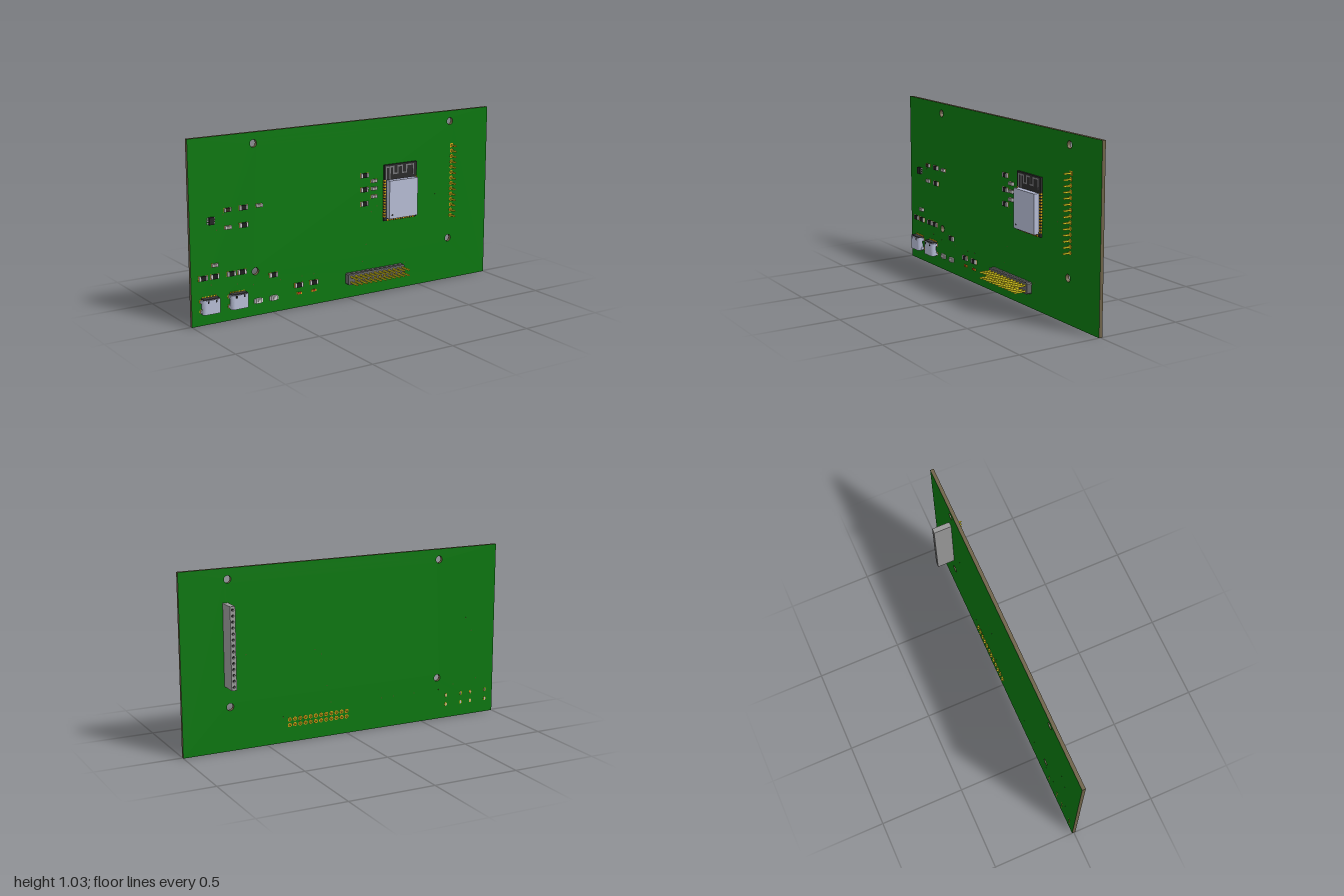
import * as THREE from 'three';

const FRONT = 0.0095, BACK = -0.011, PITCH = 0.0328;
const GREEN = 0x0b760f, EDGE = 0x6e6248, GOLD = 0xd9a514, YELLOW = 0xe0d01c, BLACK = 0x1c1c1c,
  STEEL = 0xb4bad2, GREY = 0x999999, DARK = 0x3a3a3c, TIN = 0xc4c4c4;

const mats = {};
const mat = (color) => (mats[color] ??= new THREE.MeshStandardMaterial({ color, flatShading: true }));

function add(parent, name, geometry, color, x = 0, y = 0, z = 0) {
  const mesh = new THREE.Mesh(geometry, mat(color));
  mesh.name = name;
  mesh.position.set(x, y, z);
  parent.add(mesh);
  return mesh;
}

// box given by its centre in x and y and its range in z
const box = (parent, name, color, x, y, w, h, z0, z1) =>
  add(parent, name, new THREE.BoxGeometry(w, h, z1 - z0), color, x, y, (z0 + z1) / 2);

// disc or rod along z
const rod = (parent, name, color, x, y, r, z0, z1, sides = 12) =>
  add(parent, name, new THREE.CylinderGeometry(r, r, z1 - z0, sides).rotateX(Math.PI / 2), color, x, y, (z0 + z1) / 2);

function group(parent, name, x = 0, y = 0) {
  const g = new THREE.Group();
  g.name = name;
  g.position.set(x, y, 0);
  parent.add(g);
  return g;
}

const polygon = (points) => new THREE.Shape(points.map(([x, y]) => new THREE.Vector2(x, y)));
const circle = (x, y, r, n = 24) => {
  const path = new THREE.Path();
  path.absarc(x, y, r, 0, Math.PI * 2, true);
  return new THREE.Path(path.getPoints(n));
};

// square pin along z with tapered ends
function pin(parent, x, y, z0, z1) {
  const profile = [[0, z0], [0.003, z0], [0.0064, z0 + 0.006], [0.0064, z1 - 0.006], [0.003, z1], [0, z1]];
  const g = new THREE.LatheGeometry(profile.map(([r, h]) => new THREE.Vector2(r, h)), 4, Math.PI / 4);
  add(parent, 'pin', g.rotateX(Math.PI / 2), YELLOW, x, y);
}

function stadium(w, h) {
  const r = h / 2, s = new THREE.Shape();
  s.absarc(w / 2 - r, 0, r, -Math.PI / 2, Math.PI / 2, false);
  s.absarc(-w / 2 + r, 0, r, Math.PI / 2, Math.PI * 1.5, false);
  return s;
}

// two-terminal chip component lying along x
function chip(parent, name, x, y, w, h, d, body, ends = TIN) {
  const g = group(parent, name, x, y);
  box(g, 'body', body, 0, 0, w * 0.6, h, FRONT, FRONT + d);
  for (const s of [-1, 1]) {
    box(g, 'terminal', ends, s * w * 0.39, 0, w * 0.2, h, FRONT, FRONT + d);
    box(g, 'pad', GOLD, s * w * 0.4, 0, w * 0.3, h * 1.1, FRONT, FRONT + 0.001);
  }
}

// port with its mouth facing down
function port(parent, x) {
  const g = group(parent, 'port', x, 0.07), w = 0.108, h = 0.04, zc = FRONT + 0.0225;
  const ring = stadium(w, h);
  ring.holes.push(new THREE.Path(stadium(w - 0.01, h - 0.01).getPoints(10)));
  const along = (shape, depth) =>
    new THREE.ExtrudeGeometry(shape, { depth, bevelEnabled: false, curveSegments: 10 }).rotateX(-Math.PI / 2);
  add(g, 'shell', along(ring, 0.08), STEEL, 0, 0, zc);
  add(g, 'backPlug', along(stadium(w - 0.012, h - 0.012), 0.03), DARK, 0, 0.048, zc);
  box(g, 'tongue', BLACK, 0, 0.03, 0.07, 0.05, zc - 0.004, zc + 0.004);
  box(g, 'rearHousing', DARK, 0, 0.079, 0.094, 0.012, FRONT, zc + 0.012);
  for (const s of [-1, 1]) {
    box(g, 'notch', BLACK, s * 0.024, 0.07, 0.01, 0.014, zc + 0.019, zc + 0.0207);
    for (const y of [0.012, 0.068]) {
      box(g, 'leg', STEEL, s * 0.052, y, 0.006, 0.016, BACK - 0.002, zc);
      add(g, 'legPad', new THREE.CylinderGeometry(0.01, 0.01, FRONT - BACK + 0.002, 12)
        .rotateX(Math.PI / 2).scale(0.8, 1.2, 1), GOLD, s * 0.052, y, (FRONT + BACK) / 2);
    }
  }
  for (let i = 0; i < 10; i++) box(g, 'contact', GOLD, -0.0405 + i * 0.009, 0.086, 0.005, 0.012, FRONT, FRONT + 0.003);
}

function radioModule(parent) {
  const g = group(parent, 'radioModule', 0.358, 0);
  box(g, 'moduleBoard', 0x2a2a2a, 0, 0.59, 0.23, 0.332, FRONT, 0.021);
  box(g, 'shield', STEEL, 0.001, 0.553, 0.2, 0.226, 0.02, 0.053);
  rod(g, 'dot', DARK, -0.078, 0.463, 0.006, 0.05, 0.0535);
  // edge pads on three sides
  for (let i = 0; i < 14; i++) {
    for (const s of [-1, 1]) box(g, 'edgePad', GOLD, s * 0.111, 0.452 + i * 0.0163, 0.012, 0.009, FRONT, 0.0216);
  }
  for (let i = 0; i < 12; i++) box(g, 'edgePad', GOLD, -0.09 + i * 0.0163, 0.429, 0.009, 0.012, FRONT, 0.0216);
  // meandering antenna trace
  const path = [[-0.1, 0.672], [-0.1, 0.742], [-0.05, 0.742], [-0.05, 0.7], [-0.02, 0.7], [-0.02, 0.742], [0.012, 0.742],
    [0.012, 0.7], [0.042, 0.7], [0.042, 0.742], [0.09, 0.742], [0.09, 0.685]];
  path.push([0.09, 0.685]);
  for (let i = 0; i < path.length - 2; i++) {
    const [a, b] = path[i], [c, d] = path[i + 1];
    box(g, 'antenna', 0x77777a, (a + c) / 2, (b + d) / 2, Math.abs(a - c) + 0.008, Math.abs(b - d) + 0.008, 0.02, 0.0216);
  }
  box(g, 'antennaFeed', 0x77777a, -0.075, 0.705, 0.008, 0.075, 0.02, 0.0216);
}

function pinHeader(parent) {
  const g = group(parent, 'pinHeader', 0, 0.116);
  const a = PITCH / 2, b = 0.033, c = 0.006;
  const cell = new THREE.ExtrudeGeometry(polygon([[-a + c, -b], [a - c, -b], [a, -b + c], [a, b - c], [a - c, b],
    [-a + c, b], [-a, b - c], [-a, -b + c]]), { depth: 0.032, bevelEnabled: false });
  for (let i = 0; i < 12; i++) {
    const x = i * PITCH;
    add(g, 'housing', cell, 0x626262, x, 0, FRONT);
    for (const y of [-PITCH / 2, PITCH / 2]) {
      pin(g, x, y, -0.023, 0.116);
      rod(g, 'pad', GOLD, x, y, 0.0125, BACK - 0.001, FRONT + 0.001);
    }
  }
}

function rearSocket(parent) {
  const g = group(parent, 'rearSocket', 0.735, 0.608), h = 0.2325;
  const shape = polygon([[-0.015, -h], [0.015, -h], [0.015, h], [-0.015, h]]);
  for (let i = 0; i < 14; i++) {
    const y = (i - 6.5) * PITCH;
    shape.holes.push(circle(0, y, 0.0075, 10));
    pin(g, 0, y, -0.03, 0.057);
    if (i === 13) box(g, 'squarePad', GOLD, 0, y, 0.024, 0.024, BACK, FRONT + 0.001);
    else rod(g, 'pad', GOLD, 0, y, 0.012, BACK, FRONT + 0.001);
  }
  add(g, 'housing', new THREE.ExtrudeGeometry(shape, { depth: 0.104, bevelEnabled: false }), GREY, 0, 0, BACK - 0.104);
  box(g, 'innerCore', BLACK, 0, 0, 0.024, 0.455, -0.1, -0.04);
}

export function createModel() {
  const model = new THREE.Group();
  model.name = 'circuitBoard';

  // board with four mounting holes
  const outline = polygon([[-1, 0], [1, 0], [1, 1.03], [-1, 1.03]]);
  for (const x of [-0.607, 0.719]) for (const y of [0.254, 0.968]) outline.holes.push(circle(x, y, 0.021));
  const board = add(model, 'board',
    new THREE.ExtrudeGeometry(outline, { depth: FRONT - BACK, bevelEnabled: false }), GREEN, 0, 0, BACK);
  board.material = [mat(GREEN), mat(EDGE)];

  for (const x of [-0.895, -0.723]) port(model, x);
  radioModule(model);
  pinHeader(model);
  rearSocket(model);

  // resistors
  for (const [x, y] of [[-0.676, 0.624], [-0.676, 0.527], [-0.928, 0.265], [-0.858, 0.265], [-0.757, 0.265],
    [-0.692, 0.265], [-0.495, 0.217], [-0.332, 0.131], [-0.233, 0.131], [0.11, 0.709], [0.11, 0.626], [0.11, 0.543]])
    chip(model, 'resistor', x, y, 0.052, 0.026, 0.01, BLACK);
  // capacitors
  for (const [x, y] of [[-0.58, 0.624], [-0.773, 0.527], [-0.858, 0.329], [0.176, 0.671], [0.176, 0.626], [0.176, 0.58]])
    chip(model, 'capacitor', x, y, 0.038, 0.018, 0.014, 0x8f8a86);
  chip(model, 'diode', -0.773, 0.624, 0.042, 0.02, 0.012, 0x33281c);
  // indicator lamps
  for (const x of [-0.33, -0.233]) chip(model, 'lamp', x, 0.083, 0.03, 0.012, 0.006, 0xb03a1c, GOLD);
  // small push buttons
  for (const x of [-0.593, -0.495]) {
    const g = group(model, 'button', x, 0.084);
    box(g, 'body', 0xd0d0d0, 0, 0, 0.034, 0.028, FRONT, 0.022);
    for (const s of [-1, 1]) box(g, 'terminal', TIN, s * 0.021, 0, 0.012, 0.022, FRONT, 0.015);
    rod(g, 'plunger', 0xe4e4e4, 0, 0, 0.009, 0.02, 0.028, 16);
  }
  // six-legged chip
  const ic = group(model, 'regulator', -0.874, 0.577);
  box(ic, 'body', 0x242424, 0, 0, 0.03, 0.04, FRONT + 0.002, 0.027);
  for (const s of [-1, 1]) for (const y of [-0.013, 0, 0.013])
    box(ic, 'leg', TIN, s * 0.018, y, 0.012, 0.006, FRONT, 0.015);

  // plated vias
  for (const [x, y] of [[0.62, 0.54], [0.125, 0.3], [0.1, 0.2], [-0.84, 0.52], [-0.8, 0.6], [-0.62, 0.18], [-0.45, 0.18],
    [-0.31, 0.18], [-0.23, 0.18], [-0.72, 0.2], [-0.88, 0.22], [0.2, 0.52], [0.16, 0.49], [0.4, 0.15]])
    rod(model, 'via', 0x3f5a1c, x, y, 0.004, BACK - 0.0005, FRONT + 0.0005, 8);
  return model;
}
